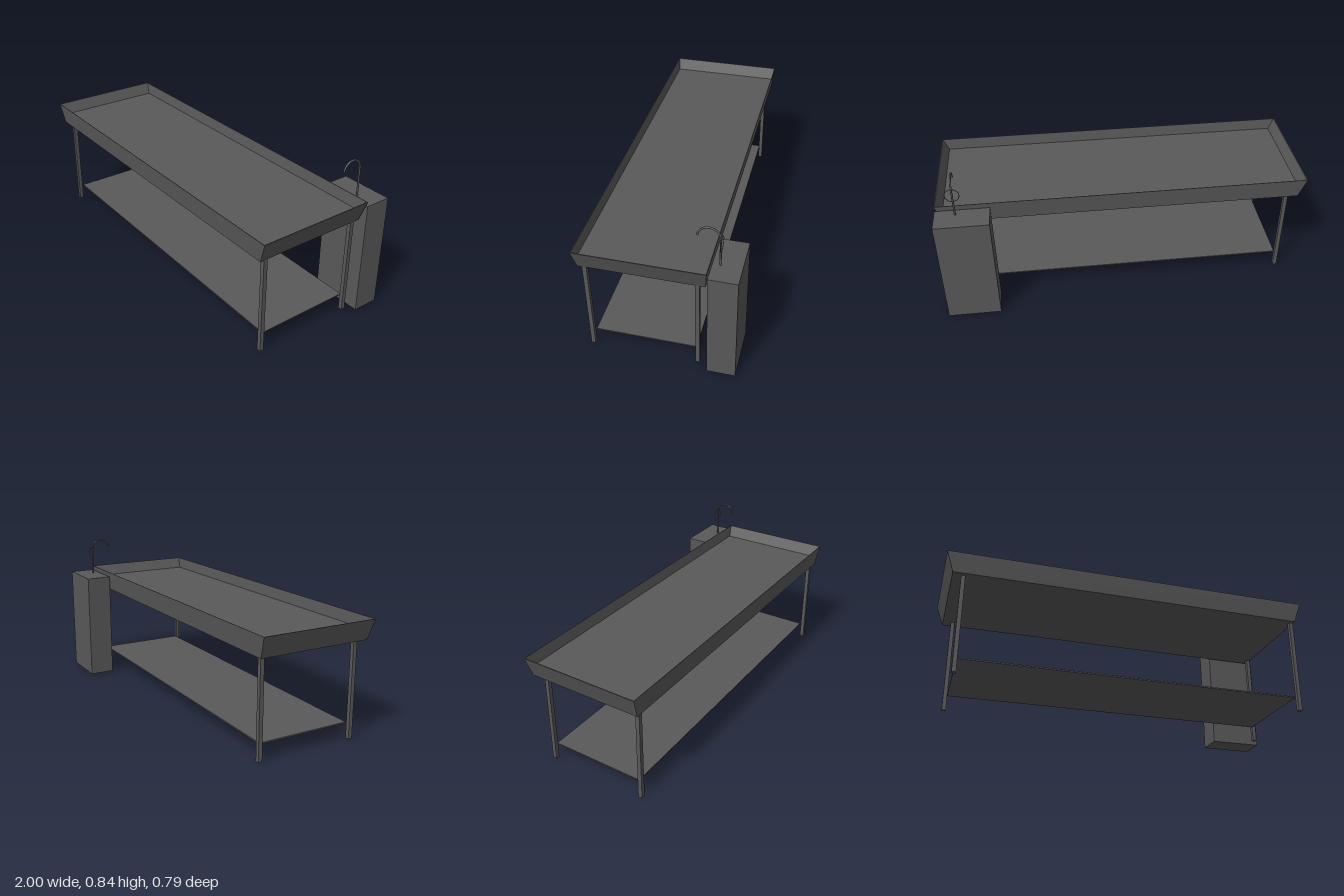
import * as THREE from 'three';

const color = 0x595959;
const material = new THREE.MeshStandardMaterial({ color, side: THREE.DoubleSide });
const flatMaterial = new THREE.MeshStandardMaterial({ color, flatShading: true, side: THREE.DoubleSide });

// Box given by its minimum and maximum corners
function box(name, [x0, y0, z0], [x1, y1, z1]) {
  const mesh = new THREE.Mesh(new THREE.BoxGeometry(x1 - x0, y1 - y0, z1 - z0), material);
  mesh.position.set((x0 + x1) / 2, (y0 + y1) / 2, (z0 + z1) / 2);
  mesh.name = name;
  return mesh;
}

// Rectangular tray from rings: [half width, half depth, height]
function trayGeometry(rings) {
  const corners = [[-1, 1], [1, 1], [1, -1], [-1, -1]];
  const point = (r, i) => {
    const [w, d, y] = rings[r];
    const [sx, sz] = corners[i % 4];
    return [sx * w, y, sz * d];
  };
  const positions = [];
  const quad = (a, b, c, d) => positions.push(...a, ...b, ...c, ...a, ...c, ...d);
  for (let r = 0; r < rings.length - 1; r++) {
    for (let i = 0; i < 4; i++) {
      quad(point(r, i), point(r, i + 1), point(r + 1, i + 1), point(r + 1, i));
    }
  }
  const last = rings.length - 1;
  quad(point(last, 0), point(last, 1), point(last, 2), point(last, 3));
  quad(point(0, 3), point(0, 2), point(0, 1), point(0, 0));
  const geometry = new THREE.BufferGeometry();
  geometry.setAttribute('position', new THREE.Float32BufferAttribute(positions, 3));
  geometry.computeVertexNormals();
  return geometry;
}

export function createModel() {
  const model = new THREE.Group();
  model.name = 'washTable';

  // Open tray: outer bottom, outer rim, inner rim, raised inner floor
  const tray = new THREE.Mesh(trayGeometry([
    [0.962, 0.312, 0.538],
    [1, 0.324, 0.65],
    [0.995, 0.321, 0.65],
    [0.965, 0.313, 0.587],
  ]), flatMaterial);
  tray.position.z = 0.074;
  tray.name = 'tray';
  model.add(tray);

  // Four square legs
  const half = 0.011;
  for (const x of [-0.907, 0.95]) {
    for (const z of [0.352, -0.198]) {
      model.add(box('leg', [x - half, 0.008, z - half], [x + half, 0.538, z + half]));
    }
  }

  // Lower shelf
  model.add(box('shelf', [-0.898, 0.09, -0.19], [0.941, 0.097, 0.334]));

  // Cabinet behind the tray
  model.add(box('cabinet', [0.712, 0, -0.397], [0.999, 0.624, -0.253]));

  // Gooseneck tap: straight riser, then an arc towards the tray
  const tap = new THREE.Group();
  tap.name = 'tap';
  tap.position.set(0.89, 0, -0.237);
  const radius = 0.0545, centreY = 0.78, pipe = 0.005;

  const riser = new THREE.Mesh(new THREE.CylinderGeometry(pipe, pipe, centreY - 0.62, 12), material);
  riser.position.set(0, (centreY + 0.62) / 2, -radius);
  riser.name = 'riser';

  const sweep = Math.PI * 0.96;
  const spout = new THREE.Mesh(new THREE.TorusGeometry(radius, pipe, 12, 14, sweep), material);
  spout.rotation.y = Math.PI / 2;
  spout.position.y = centreY;
  spout.name = 'spout';

  const outlet = new THREE.Mesh(new THREE.CircleGeometry(pipe, 12), material);
  outlet.position.set(0, centreY + radius * Math.sin(sweep), -radius * Math.cos(sweep));
  outlet.rotation.x = Math.PI / 2 + (Math.PI - sweep);
  outlet.name = 'outlet';

  // Thin handwheel ring on the back of the riser
  const ring = new THREE.Mesh(new THREE.TorusGeometry(0.037, 0.0018, 8, 32), material);
  ring.position.set(0, 0.751, -0.06);
  ring.name = 'handwheel';

  tap.add(riser, spout, outlet, ring);
  model.add(tap);
  return model;
}
